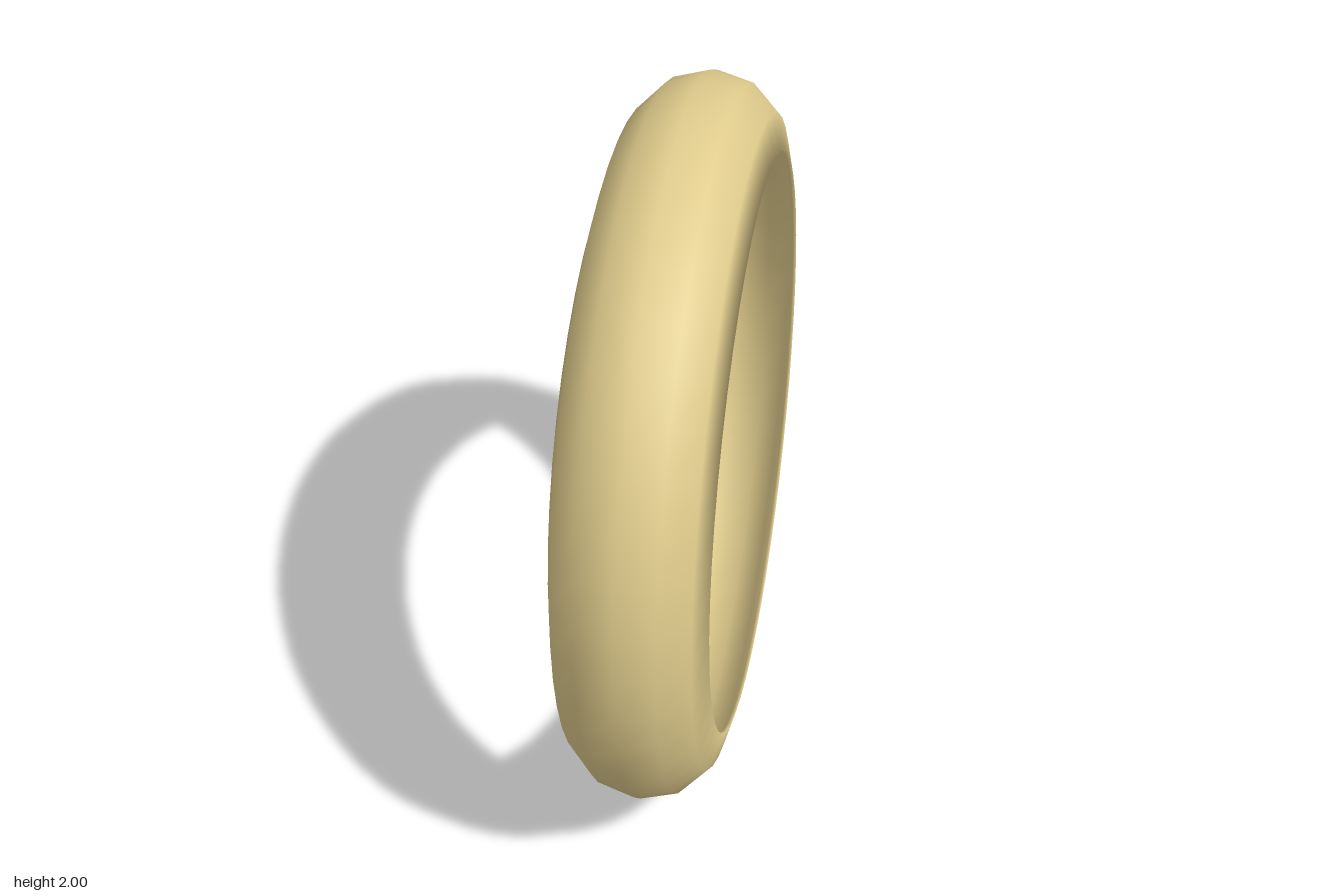
import * as THREE from 'three';

const RING = 0.8;    // radius of the open rims
const TUBE = 0.2;    // radius of the half-round section
const WALL = 0.01;   // thickness of the hollow shell
const STEPS = 6;     // sides of the half-round section
const SIDES = 48;    // sides around the ring

// Half-round arc from one rim to the other
function arc(radius) {
  return Array.from({ length: STEPS + 1 }, (_, i) => {
    const a = -Math.PI / 2 + (Math.PI * i) / STEPS;
    return new THREE.Vector2(RING + radius * Math.cos(a), radius * Math.sin(a));
  });
}

export function createModel() {
  const group = new THREE.Group();
  group.name = 'ring';

  // Outer skin, lip, inner channel and back to the first rim
  const outer = arc(TUBE);
  const inner = arc(TUBE - WALL).reverse();
  const geometry = new THREE.LatheGeometry([...outer, ...inner, outer[0]], SIDES);

  // Round the lips: rim normals lean towards the centre of the ring
  const p = geometry.attributes.position;
  const n = geometry.attributes.normal;
  for (let i = 0; i < p.count; i++) {
    const x = p.getX(i), y = p.getY(i), z = p.getZ(i);
    const r = Math.hypot(x, z);
    if (r > RING + 1e-4) continue;
    const side = Math.sign(y) * (Math.abs(y) > TUBE - WALL / 2 ? 1 : -1);
    n.setXYZ(i, (-0.6 * x) / r, 0.8 * side, (-0.6 * z) / r);
  }

  // Stand the ring upright with its axis along x
  geometry.rotateZ(-Math.PI / 2);
  geometry.translate(0, RING + TUBE, 0);

  const band = new THREE.Mesh(geometry, new THREE.MeshStandardMaterial({ color: 0xdfcb8c }));
  band.name = 'hollowBand';
  group.add(band);
  return group;
}
